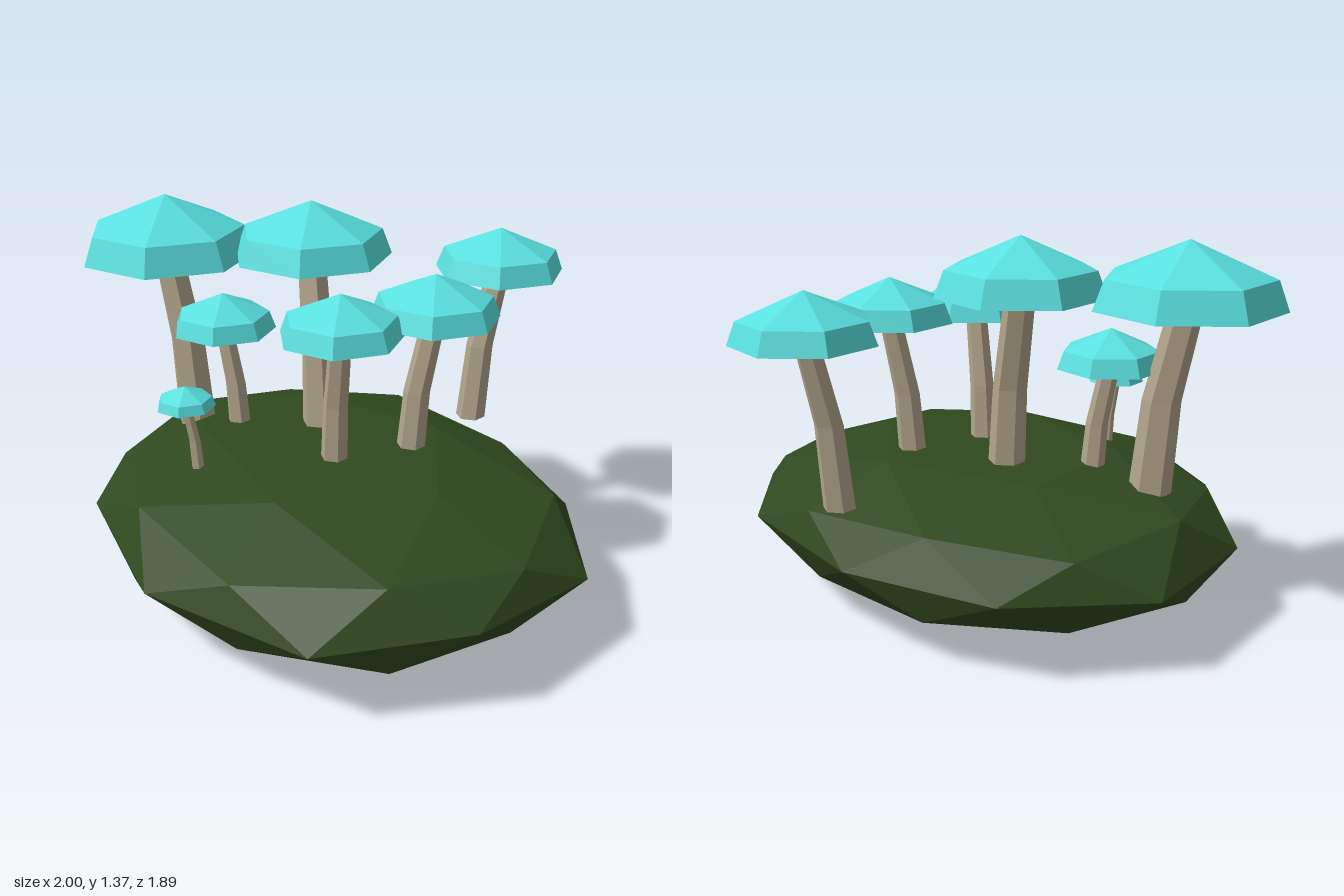
import * as THREE from 'three';

const mat = (name, color) => {
  const m = new THREE.MeshStandardMaterial({ color, flatShading: true });
  m.name = name;
  return m;
};

// Flattened, uneven ball: an equator of ten points, with rings of ten and five and a pole on each side
function islandGeometry() {
  const equator = [
    [0.98, 0.31, 0.37], [0.67, 0.28, 0.80], [0.05, 0.29, 0.945], [-0.53, 0.32, 0.74], [-0.89, 0.28, 0.33],
    [-0.905, 0.27, -0.20], [-0.55, 0.29, -0.60], [0.0, 0.30, -0.73], [0.65, 0.28, -0.55], [1.0, 0.27, -0.18],
  ].map((p) => new THREE.Vector3(...p));
  const centre = new THREE.Vector3(0.05, 0.28, 0.1);
  const positions = [];
  const face = (a, b, c) => {
    const normal = b.clone().sub(a).cross(c.clone().sub(a));
    const outward = a.clone().add(b).add(c).divideScalar(3).sub(centre);
    const order = normal.dot(outward) > 0 ? [a, b, c] : [a, c, b];
    order.forEach((v) => positions.push(v.x, v.y, v.z));
  };
  // Point between equator corners k - 1 and k, pulled towards the centre
  const between = (k, scale, y) => {
    const p = equator[(k + 9) % 10].clone().add(equator[k % 10]).multiplyScalar(0.5);
    return p.sub(centre).multiplyScalar(scale).add(centre).setY(y);
  };
  const halves = [
    { start: 0, wide: [0.40, 0.44], narrow: 0.53, pole: [0.05, 0.54, 0.1] },
    { start: 1, wide: [0.155, 0.14], narrow: 0.06, pole: [0.09, 0, 0.08] },
  ];
  for (const { start, wide, narrow, pole } of halves) {
    const tip = new THREE.Vector3(...pole);
    const ring10 = [], ring5 = [];
    for (let i = 0; i < 10; i++) {
      ring10.push(between(start + i, i % 2 ? 0.90 : 0.94, wide[i % 2]));
      if (i % 2 === 0) ring5.push(between(start + i, 0.55, narrow));
    }
    for (let i = 0; i < 10; i++) {
      const e0 = equator[(start + i + 9) % 10], e1 = equator[(start + i) % 10];
      face(e0, e1, ring10[i]);
      face(e1, ring10[i], ring10[(i + 1) % 10]);
    }
    for (let k = 0; k < 5; k++) {
      const m = ring5[k], next = ring5[(k + 1) % 5];
      const before = ring10[(2 * k + 9) % 10], after = ring10[2 * k + 1];
      face(m, ring10[2 * k], after);
      face(m, before, ring10[2 * k]);
      face(m, after, next);
      face(m, next, tip);
    }
  }
  const geometry = new THREE.BufferGeometry();
  geometry.setAttribute('position', new THREE.Float32BufferAttribute(positions, 3));
  geometry.computeVertexNormals();
  return geometry;
}

// Seven-sided cap with a flat underside and a short sloping rim
function capGeometry(r, h) {
  const profile = [[0, 0], [r, 0], [0.88 * r, 0.46 * h], [0, h]].map((p) => new THREE.Vector2(...p));
  return new THREE.LatheGeometry(profile, 7, Math.PI / 2);
}

// Tapered stem with one bend, leaning from its base to the cap centre
function stemGeometry(r, base, top) {
  const height = top.y - base.y;
  const geometry = new THREE.CylinderGeometry(0.18 * r, 0.23 * r, height, 6, 2);
  const p = geometry.attributes.position;
  for (let i = 0; i < p.count; i++) {
    const t = p.getY(i) / height + 0.5;
    const lean = t < 0.5 ? 0.56 * t : 0.28 + 1.44 * (t - 0.5);
    p.setXYZ(i,
      p.getX(i) + THREE.MathUtils.lerp(base.x, top.x, lean),
      base.y + t * height,
      p.getZ(i) + THREE.MathUtils.lerp(base.z, top.z, lean));
  }
  geometry.computeVertexNormals();
  return geometry;
}

export function createModel() {
  const group = new THREE.Group();
  group.name = 'mushroomIsland';
  const green = mat('moss green', 0x30491f);
  const teal = mat('cap turquoise', 0x5ae0e0);
  const tan = mat('stem tan', 0xb3a58c);

  const add = (parent, name, geometry, material) => {
    const mesh = new THREE.Mesh(geometry, material);
    mesh.name = name;
    parent.add(mesh);
    return mesh;
  };
  add(group, 'island', islandGeometry(), green);

  // Cap centre x, z, radius, underside height, peak height, then stem base x, z
  const mushrooms = [
    [-0.70, 0.225, 0.333, 1.13, 1.36, -0.60, 0.20],
    [-0.23, -0.08, 0.30, 1.16, 1.365, -0.125, -0.02],
    [0.29, -0.18, 0.235, 1.02, 1.18, 0.24, -0.12],
    [0.18, 0.175, 0.22, 1.01, 1.165, 0.12, 0.15],
    [0.16, -0.705, 0.25, 1.05, 1.22, 0.13, -0.61],
    [-0.425, 0.19, 0.195, 0.89, 1.03, -0.37, 0.17],
    [-0.23, 0.53, 0.105, 0.74, 0.815, -0.212, 0.50],
  ];
  mushrooms.forEach(([x, z, r, low, high, bx, bz], i) => {
    const mushroom = new THREE.Group();
    mushroom.name = `mushroom${i + 1}`;
    add(mushroom, 'cap', capGeometry(r, high - low), teal).position.set(x, low, z);
    const base = new THREE.Vector3(bx, 0.46, bz), top = new THREE.Vector3(x, low + 0.01, z);
    add(mushroom, 'stem', stemGeometry(r, base, top), tan);
    group.add(mushroom);
  });
  return group;
}
